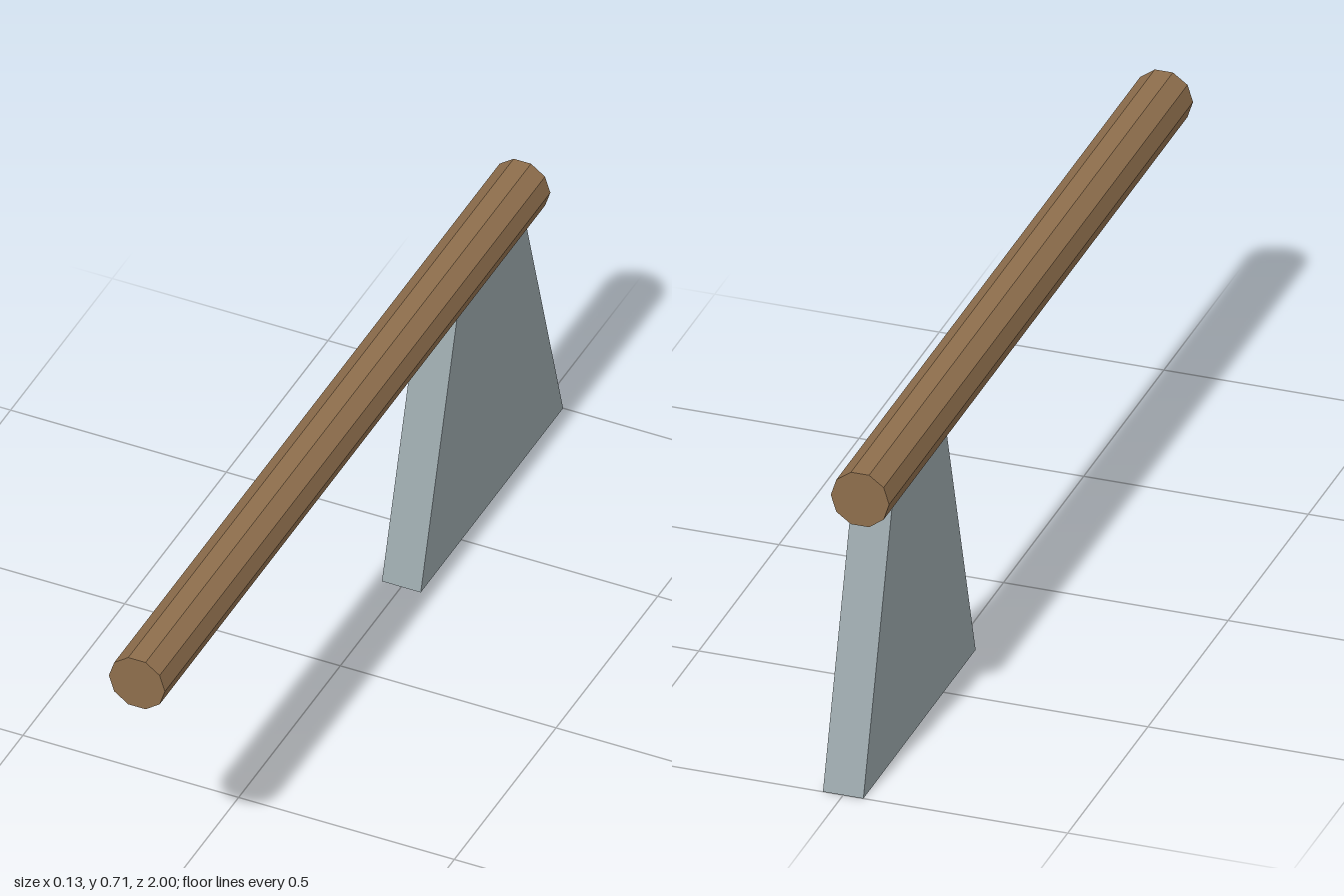
import * as THREE from 'three';

export function createModel() {
  const wood = new THREE.MeshStandardMaterial({ color: 0x8e6e4c, flatShading: true });
  wood.name = 'brown wood';
  const metal = new THREE.MeshStandardMaterial({ color: 0x98a5a9, flatShading: true });
  metal.name = 'grey metal';
  const group = new THREE.Group();

  // ten-sided handle along z, with corners at its left and right
  const handleGeo = new THREE.CylinderGeometry(0.065, 0.065, 1.895, 10, 1, false, Math.PI / 2);
  handleGeo.rotateX(Math.PI / 2);
  const handle = new THREE.Mesh(handleGeo, wood);
  handle.name = 'handle';
  handle.position.set(0, 0.65, 0.0525);
  group.add(handle);

  // flared blade, its narrow top sunk into the handle
  const outline = new THREE.Shape([
    new THREE.Vector2(0.3, 0),
    new THREE.Vector2(1, 0),
    new THREE.Vector2(0.81, 0.64),
    new THREE.Vector2(0.49, 0.64),
  ]);
  const bladeGeo = new THREE.ExtrudeGeometry(outline, { depth: 0.09, bevelEnabled: false });
  bladeGeo.translate(0, 0, -0.045);
  bladeGeo.rotateY(Math.PI / 2); // outline x becomes -z
  const blade = new THREE.Mesh(bladeGeo, metal);
  blade.name = 'blade';
  group.add(blade);

  return group;
}
